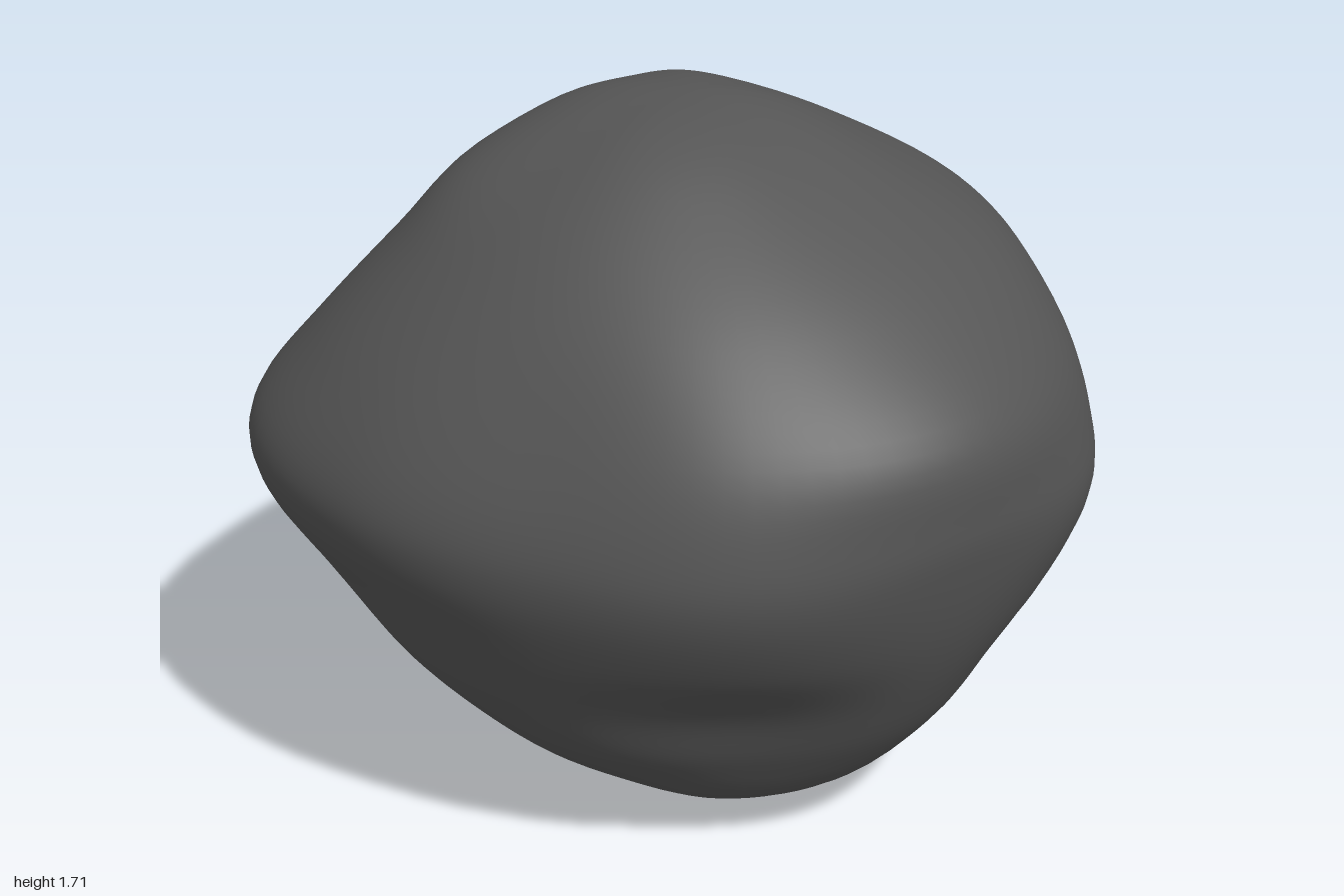
import * as THREE from 'three';
import { mergeVertices } from 'three/addons/utils/BufferGeometryUtils.js';

// Horizontal cross-sections, top to bottom: height, then radii every 30 degrees from +x towards +z
const SECTIONS = [
  [1.67, [.19, .21, .22, .22, .26, .28, .25, .26, .26, .23, .23, .20]],
  [1.55, [.44, .45, .48, .48, .50, .51, .49, .52, .46, .42, .41, .40]],
  [1.38, [.72, .71, .74, .75, .74, .70, .69, .69, .61, .59, .64, .70]],
  [1.18, [.92, .86, .91, .97, .92, .84, .87, .88, .78, .77, .81, .88]],
  [0.99, [.99, .92, .98, 1.0, .99, .93, .98, 1.03, .94, .92, .93, .99]],
  [0.84, [.98, .92, .99, .98, .99, .94, .98, 1.04, .98, .99, .97, 1.02]],
  [0.66, [.89, .85, .92, .93, .91, .88, .89, .93, .91, .91, .92, .96]],
  [0.48, [.78, .75, .81, .85, .77, .79, .80, .79, .79, .77, .83, .84]],
  [0.30, [.68, .67, .71, .74, .68, .68, .65, .66, .69, .66, .71, .71]],
  [0.13, [.49, .53, .55, .58, .55, .48, .46, .48, .51, .50, .54, .52]],
  [0.03, [.25, .31, .35, .35, .33, .26, .23, .24, .27, .28, .29, .27]],
];
const TOP = 1.705;

// Catmull-Rom through a list, with a getter that handles the ends
function spline(get, t) {
  const i = Math.floor(t), f = t - i;
  const a = get(i - 1), b = get(i), c = get(i + 1), d = get(i + 2);
  return b + 0.5 * f * (c - a + f * (2 * a - 5 * b + 4 * c - d + f * (3 * (b - c) + d - a)));
}

// Radius and height of the surface at an angle and a fraction v from top to bottom
function surface(angle, v) {
  const turn = (angle / (Math.PI * 2)) * 12;
  const radii = SECTIONS.map(([, r]) => spline((i) => r[(i + 24) % 12], turn));
  const heights = SECTIONS.map(([y]) => y);
  const r = [0, ...radii, 0], y = [TOP, ...heights, 0];
  const last = r.length - 1;
  // mirror past the poles so both ends close smoothly
  const fold = (i) => (i < 0 ? -i : i > last ? 2 * last - i : i);
  const t = v * last;
  return [
    spline((i) => (i < 0 || i > last ? -1 : 1) * r[fold(i)], t),
    spline((i) => y[fold(i)], t),
  ];
}

export function createModel() {
  const columns = 96, rows = 72;
  let geometry = new THREE.SphereGeometry(1, columns, rows);
  const p = geometry.attributes.position;
  for (let i = 0; i < p.count; i++) {
    const v = Math.floor(i / (columns + 1)) / rows;
    const angle = ((i % (columns + 1)) % columns) / columns * Math.PI * 2;
    // sphere columns start at -x and run towards +z
    const around = (Math.PI * 3 - angle) % (Math.PI * 2);
    const [r, y] = surface(around, v);
    p.setXYZ(i, r * Math.cos(around), y, r * Math.sin(around));
  }
  // weld the seam so the shading is continuous
  geometry.deleteAttribute('uv');
  geometry.deleteAttribute('normal');
  geometry = mergeVertices(geometry, 1e-5);
  geometry.computeVertexNormals();

  const stone = new THREE.MeshStandardMaterial({ color: 0x555555 });
  stone.name = 'darkStone';
  const boulder = new THREE.Mesh(geometry, stone);
  boulder.name = 'boulder';

  const group = new THREE.Group();
  group.name = 'rock';
  group.add(boulder);
  return group;
}
